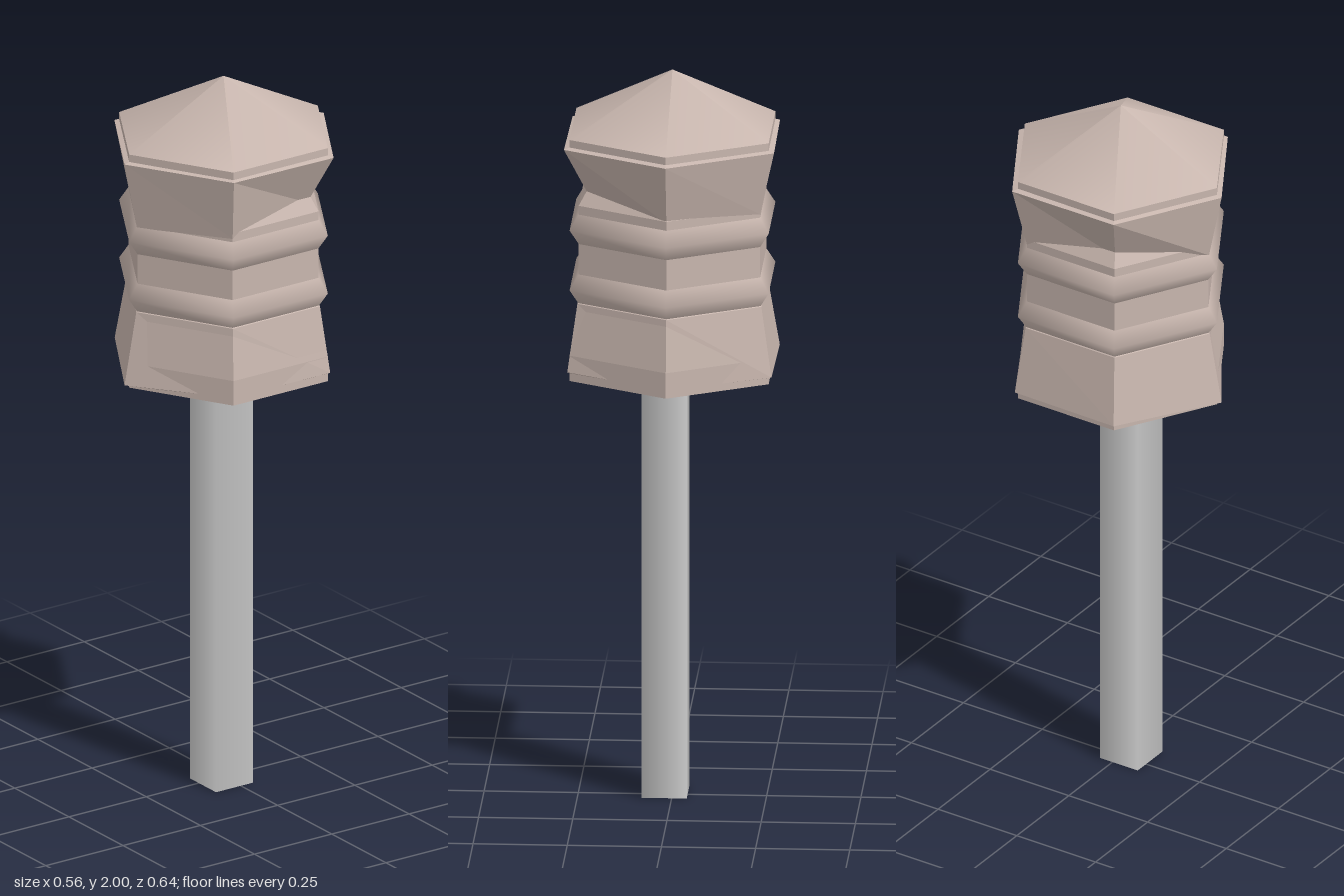
import * as THREE from 'three';

// Six-sided lathe; corner 0 points to +z, then round by way of +x.
// shift(corner, row) may return [radius, y] to move one corner of one row.
function hex(name, profile, material, shift) {
  const points = profile.map(([r, y]) => new THREE.Vector2(r, y));
  const geometry = new THREE.LatheGeometry(points, 6);
  if (shift) {
    const pos = geometry.attributes.position;
    for (let i = 0; i <= 6; i++) {
      for (let j = 0; j < points.length; j++) {
        const moved = shift(i % 6, j);
        if (!moved) continue;
        const a = (i * Math.PI) / 3;
        pos.setXYZ(i * points.length + j, moved[0] * Math.sin(a), moved[1], moved[0] * Math.cos(a));
      }
    }
    geometry.computeVertexNormals();
  }
  const mesh = new THREE.Mesh(geometry, material);
  mesh.name = name;
  return mesh;
}

export function createModel() {
  const model = new THREE.Group();
  const grey = new THREE.MeshStandardMaterial({ color: 0xcccccc });
  const smooth = new THREE.MeshStandardMaterial({ color: 0xc8b6ae });
  const flat = new THREE.MeshStandardMaterial({ color: 0xc8b6ae, flatShading: true });

  // Square post, set slightly off centre
  const post = new THREE.Mesh(new THREE.CylinderGeometry(0.085, 0.085, 1.2, 4), grey);
  post.name = 'post';
  post.rotation.y = Math.PI / 4;
  post.position.set(0.02, 0.6, 0.02);
  model.add(post);

  // Core of the head: base drum and waist
  model.add(hex('baseDrum', [[0, 1.18], [0.305, 1.18], [0.305, 1.25], [0.28, 1.39]], flat));
  model.add(hex('waist', [[0.278, 1.37], [0.278, 1.66], [0.24, 1.72]], flat));

  // Uneven skirt flaring out over the base
  const skirtRadius = [0.32, 0.298, 0.312, 0.295, 0.314, 0.318];
  const skirtY = [1.19, 1.2, 1.205, 1.2, 1.2, 1.2];
  model.add(hex('lowerSkirt', [[0.28, 1.19], [0.32, 1.2], [0.282, 1.39], [0.27, 1.4]], flat,
    (c, row) => (row === 1 ? [skirtRadius[c], skirtY[c]] : null)));

  // Two swollen rings round the waist
  for (const [name, y] of [['lowerRing', 1.43], ['upperRing', 1.595]]) {
    model.add(hex(name, [[0.275, y - 0.045], [0.305, y], [0.275, y + 0.045]], smooth));
  }

  // Upper collar, opening upward, with two opposite corners pinched in
  const neckRadius = [0.28, 0.278, 0.245, 0.275, 0.278, 0.245];
  const neckY = [1.63, 1.645, 1.68, 1.655, 1.645, 1.68];
  const rimRadius = [0.32, 0.317, 0.322, 0.324, 0.322, 0.319];
  model.add(hex('upperCollar', [[0.2, 1.65], [0.28, 1.64], [0.32, 1.82], [0.29, 1.828]], flat,
    (c, row) => (row === 1 ? [neckRadius[c], neckY[c]] : row === 2 ? [rimRadius[c], 1.82] : null)));

  // Eave band and pointed roof
  model.add(hex('eave', [[0.305, 1.8], [0.305, 1.845]], flat));
  model.add(hex('roof', [[0.305, 1.845], [0, 2]], smooth));

  return model;
}
